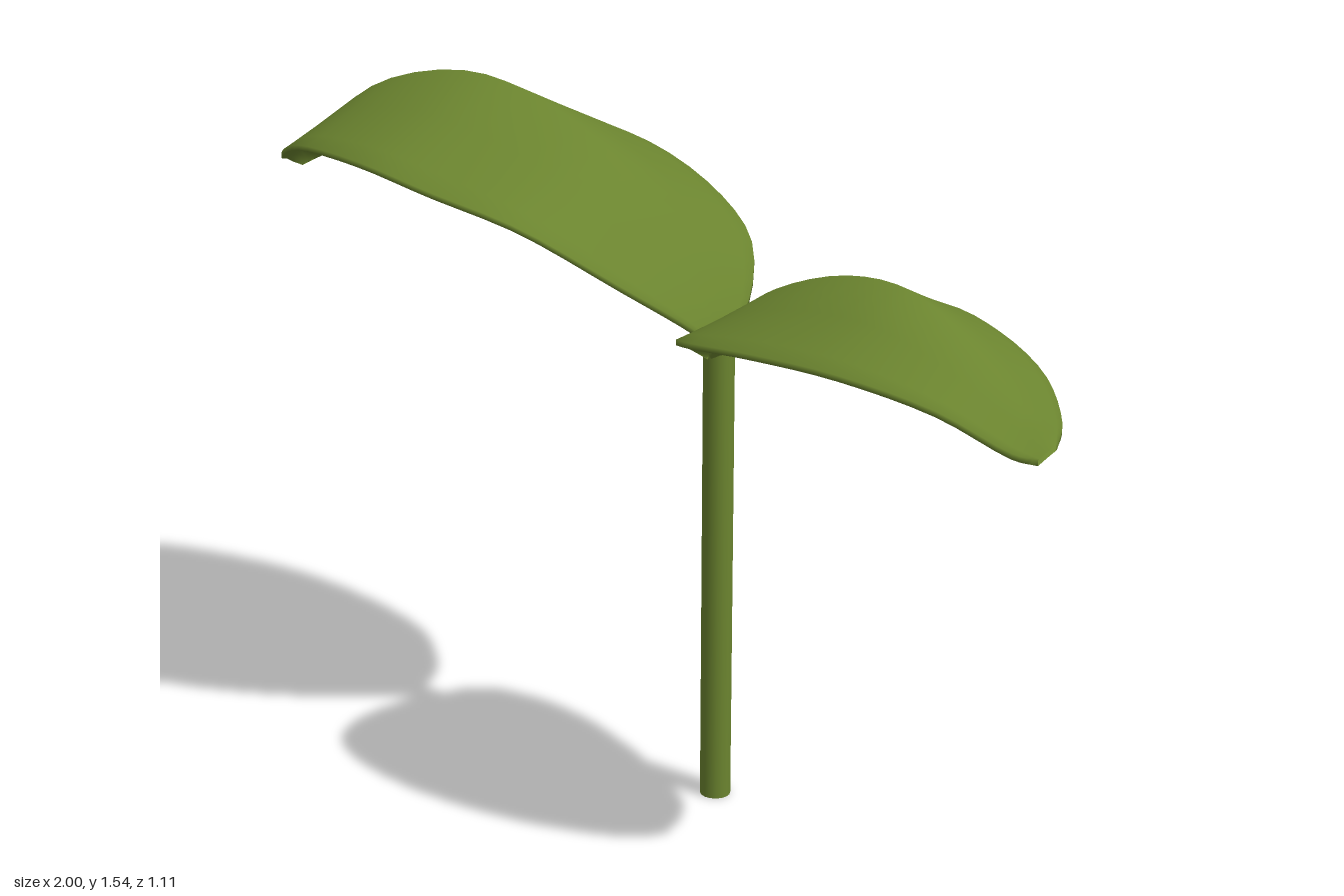
import * as THREE from 'three';

const green = new THREE.MeshStandardMaterial({ color: 0x6b842f, side: THREE.DoubleSide });
green.name = 'leafGreen';

const curve = pts => new THREE.CatmullRomCurve3(pts.map(p => new THREE.Vector3(...p)));

// Roof-folded leaf, lofted between two edge curves and a raised midrib;
// the underside hangs lower toward the midrib
function makeLeaf(name, edgeA, rib, edgeB) {
  const [a, m, b] = [edgeA, rib, edgeB].map(curve);
  const across = [-1, -0.85, -0.45, 0, 0.45, 0.85, 1];
  const steps = 32, ring = across.length * 2;
  const pos = [], index = [];
  for (let i = 0; i <= steps; i++) {
    const t = i / steps;
    const pa = a.getPoint(t), pm = m.getPoint(t), pb = b.getPoint(t);
    const top = across.map(v => pm.clone().lerp(v < 0 ? pa : pb, Math.abs(v)));
    const under = top.map((p, j) => {
      const thickness = 0.012 + 0.02 * (1 - across[j] ** 2) * Math.sin(Math.PI * t);
      return p.clone().setY(p.y - thickness);
    }).reverse();
    for (const p of [...top, ...under]) pos.push(p.x, p.y, p.z);
    if (i === steps) continue;
    for (let j = 0; j < ring; j++) {
      const k = (j + 1) % ring, r = i * ring, n = r + ring;
      index.push(r + j, r + k, n + j, r + k, n + k, n + j);
    }
  }
  const geo = new THREE.BufferGeometry();
  geo.setAttribute('position', new THREE.Float32BufferAttribute(pos, 3));
  geo.setIndex(index);
  geo.computeVertexNormals();
  const mesh = new THREE.Mesh(geo, green);
  mesh.name = name;
  return mesh;
}

export function createModel() {
  const group = new THREE.Group();
  group.name = 'sprout';

  // Stem
  const stem = new THREE.Mesh(new THREE.CylinderGeometry(0.034, 0.034, 1.1, 16), green);
  stem.name = 'stem';
  stem.position.set(0.165, 0.55, -0.016);
  group.add(stem);

  // Large leaf: front edge, midrib, back edge, each from base to tip
  group.add(makeLeaf('largeLeaf',
    [[0.16, 1.07, 0.02], [0.12, 1.115, 0.06], [0, 1.215, 0.15], [-0.19, 1.335, 0.22], [-0.41, 1.385, 0.19],
      [-0.6, 1.41, 0.115], [-0.82, 1.39, -0.045], [-0.95, 1.335, -0.2], [-0.99, 1.305, -0.26], [-1, 1.295, -0.3]],
    [[0.165, 1.09, 0], [0.13, 1.145, -0.01], [0.05, 1.255, -0.05], [-0.1, 1.415, -0.1], [-0.3, 1.51, -0.17],
      [-0.5, 1.545, -0.23], [-0.74, 1.49, -0.29], [-0.9, 1.38, -0.32], [-0.97, 1.32, -0.33], [-1, 1.28, -0.33]],
    [[0.17, 1.065, -0.02], [0.18, 1.105, -0.15], [0.13, 1.2, -0.32], [0, 1.28, -0.43], [-0.2, 1.35, -0.52],
      [-0.4, 1.38, -0.553], [-0.67, 1.375, -0.553], [-0.87, 1.325, -0.5], [-0.96, 1.28, -0.42], [-0.99, 1.265, -0.36]]));

  // Small leaf: back edge, midrib, front edge, each from base to tip
  group.add(makeLeaf('smallLeaf',
    [[0.16, 1.045, 0.02], [0.22, 1.07, 0], [0.3, 1.115, -0.05], [0.43, 1.165, -0.075], [0.65, 1.2, -0.02],
      [0.8, 1.185, 0.08], [0.93, 1.145, 0.21], [0.99, 1.095, 0.32], [1, 1.08, 0.4]],
    [[0.16, 1.055, 0.03], [0.2, 1.11, 0.05], [0.25, 1.17, 0.08], [0.34, 1.24, 0.13], [0.52, 1.313, 0.22],
      [0.68, 1.322, 0.31], [0.84, 1.24, 0.39], [0.94, 1.15, 0.43], [0.99, 1.075, 0.44]],
    [[0.16, 1.05, 0.04], [0.15, 1.1, 0.13], [0.17, 1.15, 0.26], [0.24, 1.18, 0.36], [0.4, 1.207, 0.46],
      [0.6, 1.21, 0.53], [0.8, 1.17, 0.55], [0.94, 1.09, 0.51], [0.98, 1.067, 0.465]]));

  return group;
}
